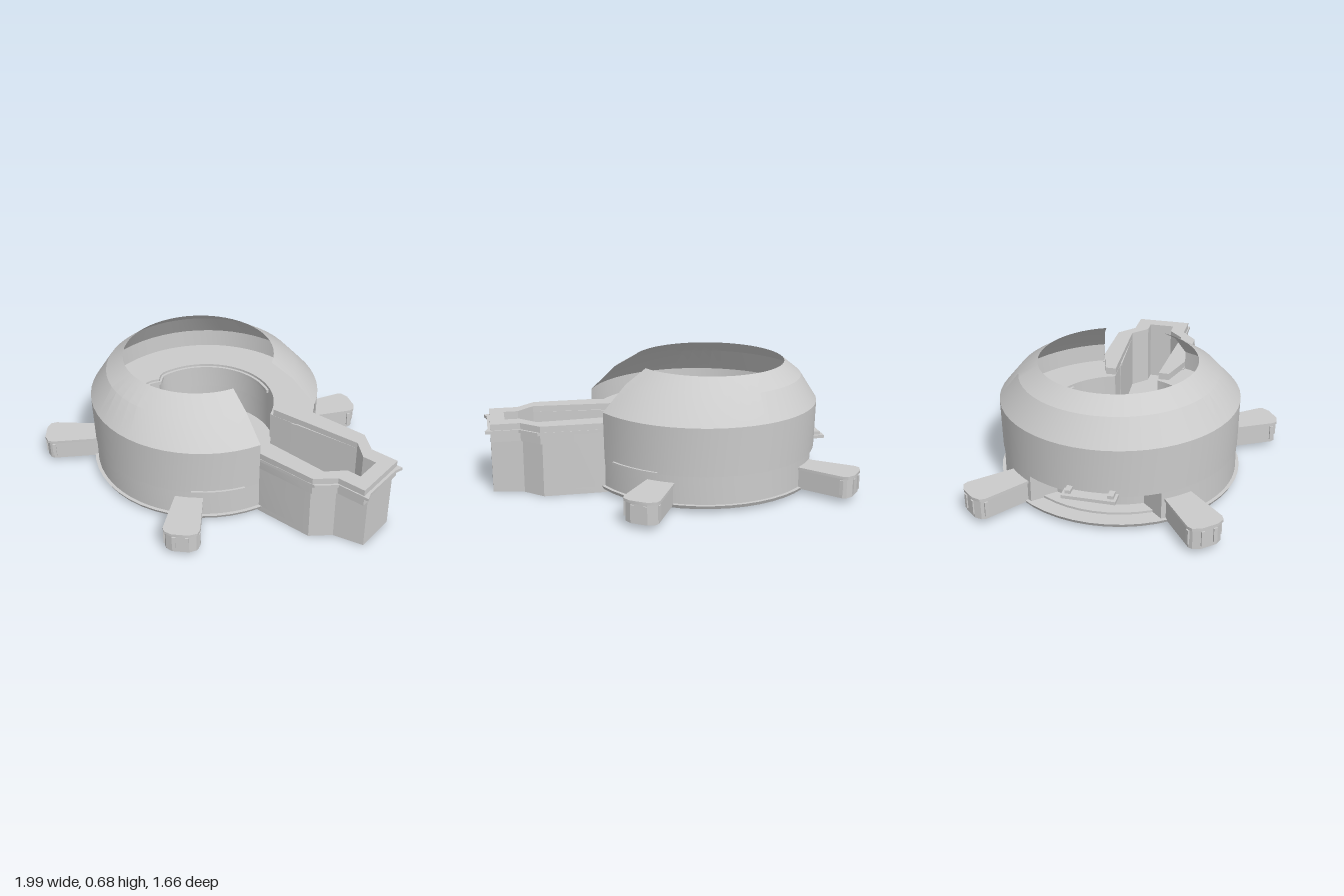
import * as THREE from 'three';
import { toCreasedNormals } from 'three/addons/utils/BufferGeometryUtils.js';

const CX = -0.235; // axis of the round building
const mat = new THREE.MeshStandardMaterial({ color: 0xcccccc, side: THREE.DoubleSide });

function add(parent, name, geometry, x = 0, y = 0, z = 0) {
  const mesh = new THREE.Mesh(geometry, mat);
  mesh.name = name;
  mesh.position.set(x, y, z);
  parent.add(mesh);
  return mesh;
}

// Plan outline (x, z) raised from y0 to y1
function slab(points, y0, y1) {
  const shape = new THREE.Shape(points.map(([x, z]) => new THREE.Vector2(x, z)));
  const g = new THREE.ExtrudeGeometry(shape, { depth: y1 - y0, bevelEnabled: false });
  g.rotateX(Math.PI / 2).translate(0, y1, 0);
  return toCreasedNormals(g, 0.5);
}

// Points of an arc; the radius may depend on the angle
function arc(radius, from, to, n = 48, cx = CX) {
  return Array.from({ length: n + 1 }, (_, i) => {
    const t = from + (to - from) * i / n;
    const r = typeof radius === 'function' ? radius(t) : radius;
    return [cx + r * Math.cos(t), r * Math.sin(t)];
  });
}

// Half outline plus its mirror image across z = 0
const mirrored = (half) => [...half, ...half.map(([x, z]) => [x, -z]).reverse()];

// Wall and sloping roof, open at the top and on the corridor side
function domeGeometry() {
  const rings = [ // y, centre x, radius, half width of the gap
    [0.195, CX, 0.65, 0.25], [0.46, CX, 0.655, 0.25],
    [0.6, -0.26, 0.54, 0.21], [0.675, -0.275, 0.43, 0.17],
  ];
  const n = 48, pos = [], index = [];
  for (const [y, cx, r, gap] of rings) {
    const a = Math.asin(gap / r);
    for (const [x, z] of arc(r, a, 2 * Math.PI - a, n, cx)) pos.push(x, y, z);
  }
  for (let k = 0; k < rings.length - 1; k++) {
    for (let i = 0; i < n; i++) {
      const a = k * (n + 1) + i, b = a + n + 1;
      index.push(a, b, a + 1, a + 1, b, b + 1);
    }
  }
  const g = new THREE.BufferGeometry();
  g.setAttribute('position', new THREE.Float32BufferAttribute(pos, 3));
  g.setIndex(index);
  return toCreasedNormals(g, 0.3);
}

// Ring with a round pit that opens into the corridor
function pitRing(outer, pit, y0, y1) {
  const a = Math.asin(0.14 / 0.64), b = Math.asin(0.13 / 0.41);
  return slab([...arc(outer, a, 2 * Math.PI - a, 72), ...arc(pit, 2 * Math.PI - b, b, 60)], y0, y1);
}

function makeLeg(degrees) {
  const leg = new THREE.Group();
  leg.name = 'leg';
  const plan = (o) => mirrored([[0.6, 0.07 + o], [0.9, 0.095 + o], [0.925 + o, 0.085 + o], [0.945 + o, 0.045]]);
  add(leg, 'legBody', slab(plan(-0.004), 0.03, 0.14));
  add(leg, 'legTopPlate', slab(plan(0.004), 0.14, 0.155));
  // Upright ribs framing the slots on the tip
  for (const s of [-1, 1]) {
    add(leg, 'tipRib', new THREE.BoxGeometry(0.012, 0.08, 0.02), 0.942, 0.09, s * 0.035);
    add(leg, 'sideRib', new THREE.BoxGeometry(0.02, 0.08, 0.012), 0.895, 0.09, s * 0.092);
  }
  leg.position.x = CX;
  leg.rotation.y = -THREE.MathUtils.degToRad(degrees);
  return leg;
}

export function createModel() {
  const model = new THREE.Group();
  model.name = 'roundBuilding';

  // Round body
  add(model, 'dome', domeGeometry());
  add(model, 'baseDisc', new THREE.CylinderGeometry(0.665, 0.655, 0.02, 48), CX, 0.03, 0);
  add(model, 'pitFloor', new THREE.CylinderGeometry(0.575, 0.575, 0.015, 48), CX, 0.045, 0);
  // Lower wall steps inward around the rear bay
  add(model, 'lowerWall', pitRing((t) => Math.abs(t - Math.PI) < 0.56 ? 0.5 : 0.645, 0.41, 0.03, 0.2));
  // Inner ledge, with a small dent in the rim of the pit
  const dent = (r) => (t) => r - 0.04 * Math.exp(-(((t - Math.PI) / 0.09) ** 2));
  add(model, 'ledge', pitRing(0.64, dent(0.405), 0.2, 0.36));
  const rim = dent(0.4), inner = dent(0.385);
  add(model, 'pitRim', slab([...arc(rim, 1, 5.28, 60), ...arc(inner, 5.28, 1, 60)], 0.33, 0.35));

  // Corridor: walls, outer flange, raised cap and floor
  const trench = [[0.89, 0.075], [0.81, 0.075], [0.72, 0.16]];
  const ring = (outerHalf, start, y0, y1) => {
    const half = [...trench, [start, 0.13], ...outerHalf];
    return slab(mirrored(half), y0, y1);
  };
  const wall = [[0.36, 0.245], [0.7, 0.245], [0.8, 0.155], [0.97, 0.12]];
  // Each half is closed along the end wall as one U-shaped outline
  const uShape = (outer, start, y0, y1) => slab([
    ...trench, [start, 0.13], ...outer,
    ...outer.map(([x, z]) => [x, -z]).reverse(),
    [start, -0.13], ...trench.map(([x, z]) => [x, -z]).reverse(),
  ], y0, y1);
  add(model, 'corridorWalls', uShape([[0.3, 0.235], ...wall], 0.3, 0, 0.36));
  add(model, 'corridorFloor', slab(mirrored([[0.3, 0.235], ...wall]), 0, 0.035));
  add(model, 'corridorFlange', uShape(
    [[0.33, 0.25], [0.725, 0.25], [0.82, 0.167], [1, 0.167], [0.985, 0.12]], 0.33, 0.348, 0.365));
  add(model, 'corridorCap', uShape(
    [[0.17, 0.19], [0.36, 0.248], [0.71, 0.248], [0.81, 0.16], [0.97, 0.16]], 0.17, 0.3, 0.4));

  // Legs and the brackets above the corridor-side pair
  for (const s of [-1, 1]) {
    model.add(makeLeg(s * 57.5), makeLeg(s * 139));
    const bracket = slab([...arc(0.662, 0.53, 0.98, 12), ...arc(0.6, 0.98, 0.53, 12)]
      .map(([x, z]) => [x, s * z]), 0.19, 0.205);
    add(model, 'legBracket', bracket);
  }

  // Rear hatch over the bay
  add(model, 'rearHatch', new THREE.BoxGeometry(0.09, 0.018, 0.28), -0.9, 0.205, 0.01);
  for (const z of [-0.1, 0.12]) {
    add(model, 'hatchClamp', new THREE.BoxGeometry(0.05, 0.035, 0.03), -0.9, 0.215, z);
    add(model, 'hatchStrut', new THREE.BoxGeometry(0.03, 0.05, 0.02), -0.87, 0.18, z);
  }

  // Underside: centre plate, cross-shaped feet and rear latch
  add(model, 'centrePlate', new THREE.CylinderGeometry(0.19, 0.19, 0.006, 32), CX, 0.018, 0);
  for (const z of [-0.08, 0.11]) {
    const w = z > 0 ? 0.035 : 0.022;
    add(model, 'floorStud', new THREE.BoxGeometry(w, 0.05, w), CX, 0.037, z);
  }
  for (const deg of [59, 108, 157, -59, -108, -157]) {
    const foot = new THREE.Group();
    foot.name = 'foot';
    const t = THREE.MathUtils.degToRad(deg);
    foot.position.set(CX + 0.4 * Math.cos(t), 0.014, 0.4 * Math.sin(t));
    foot.rotation.y = -t;
    add(foot, 'footBarLong', new THREE.BoxGeometry(0.07, 0.016, 0.025));
    add(foot, 'footBarCross', new THREE.BoxGeometry(0.025, 0.016, 0.07));
    model.add(foot);
  }
  add(model, 'rearLatch', new THREE.BoxGeometry(0.05, 0.014, 0.16), -0.72, 0.015, 0);

  return model;
}
